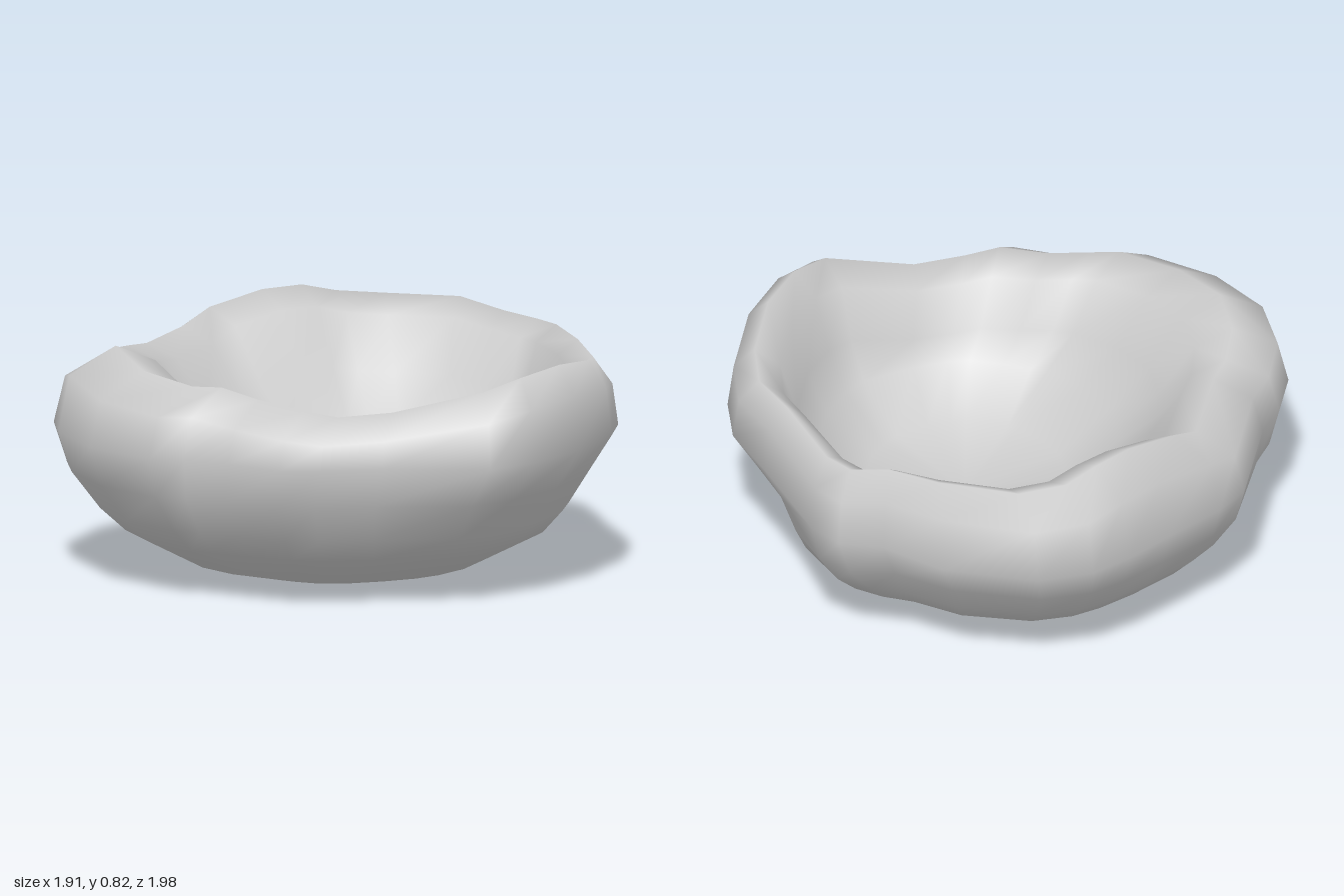
import * as THREE from 'three';

// Outer outline seen from above, with the rim height there: [x, z, rimY]
const OUTLINE = [
  [0.25, -1.0, 0.79], [0.44, -0.95, 0.78], [0.69, -0.73, 0.79], [0.80, -0.51, 0.77], [0.92, -0.41, 0.75],
  [0.955, -0.28, 0.75], [0.92, 0.1, 0.76], [0.91, 0.35, 0.74], [0.83, 0.53, 0.76], [0.64, 0.76, 0.79],
  [0.43, 0.92, 0.78], [0.25, 0.99, 0.75], [-0.1, 0.87, 0.68], [-0.32, 0.845, 0.67], [-0.45, 0.80, 0.69],
  [-0.58, 0.63, 0.71], [-0.70, 0.51, 0.74], [-0.81, 0.46, 0.74], [-0.94, 0.2, 0.76], [-0.96, -0.1, 0.80],
  [-0.92, -0.28, 0.76], [-0.80, -0.43, 0.74], [-0.69, -0.51, 0.73], [-0.45, -0.81, 0.73], [-0.32, -0.87, 0.78],
  [-0.08, -0.93, 0.82], [0.1, -0.98, 0.82],
];

// Rings from the underside, over the rim, down to the bowl floor:
// r = fraction of outline, y = height (share of the rim height when rim is set),
// round = blend towards a plain circle, dx/dz = shift of the ring's centre,
// bulge = [angle, size] of a lump on the +x flank
const RINGS = [
  { r: 0.33, y: 0.005, round: 0.8 },
  { r: 0.54, y: 0.05, round: 0.6 },
  { r: 0.76, y: 0.16, round: 0.5, bulge: [-0.05, 0.09] },
  { r: 0.84, y: 0.24, round: 0.4, dx: -0.01, bulge: [-0.12, 0.08] },
  { r: 0.93, y: 0.37, round: 0.2, dx: -0.02, bulge: [-0.28, 0.06] },
  { r: 0.995, y: 0.51, round: 0 },
  { r: 0.965, y: 0.88, rim: true, round: 0, dx: 0.01 },
  { r: 0.85, y: 1.0, rim: true, round: 0.1, dx: 0.06 },
  { r: 0.74, y: 0.93, rim: true, round: 0.3, dx: 0.09 },
  { r: 0.65, y: 0.7, rim: true, round: 0.5, dx: 0.12, dz: 0.02 },
  { r: 0.54, y: 0.4, round: 0.7, dx: 0.14, dz: 0.06 },
  { r: 0.36, y: 0.26, round: 0.9, dx: 0.15, dz: 0.07 },
];

function createBowlGeometry() {
  const n = OUTLINE.length;
  const positions = [0, 0, 0];
  const index = [];

  for (const { r, y, rim, round, dx = 0, dz = 0, bulge = [0, 0] } of RINGS) {
    for (const [x, z, rimY] of OUTLINE) {
      const angle = Math.atan2(z, x);
      const lump = bulge[1] * Math.exp(-(((angle - bulge[0]) / 0.25) ** 2));
      const radius = THREE.MathUtils.lerp(Math.hypot(x, z), 0.95, round) * r + lump;
      positions.push(
        Math.cos(angle) * radius + dx,
        rim ? y * rimY : y,
        Math.sin(angle) * radius + dz,
      );
    }
  }
  const floor = positions.push(0.15, 0.2, 0.08) / 3 - 1;

  // Join the rings, closing the underside and the floor with fans
  const at = (ring, i) => 1 + ring * n + (i % n);
  const last = RINGS.length - 1;
  for (let i = 0; i < n; i++) {
    index.push(0, at(0, i), at(0, i + 1));
    for (let k = 0; k < last; k++) {
      const a = at(k, i), b = at(k, i + 1), c = at(k + 1, i), d = at(k + 1, i + 1);
      index.push(a, c, b, b, c, d);
    }
    index.push(at(last, i), floor, at(last, i + 1));
  }

  const geometry = new THREE.BufferGeometry();
  geometry.setAttribute('position', new THREE.Float32BufferAttribute(positions, 3));
  geometry.setIndex(index);
  geometry.computeVertexNormals();
  return geometry;
}

export function createModel() {
  const group = new THREE.Group();
  group.name = 'unevenBowl';
  const material = new THREE.MeshStandardMaterial({ color: 0xcccccc });
  const bowl = new THREE.Mesh(createBowlGeometry(), material);
  bowl.name = 'bowl';
  group.add(bowl);
  return group;
}
